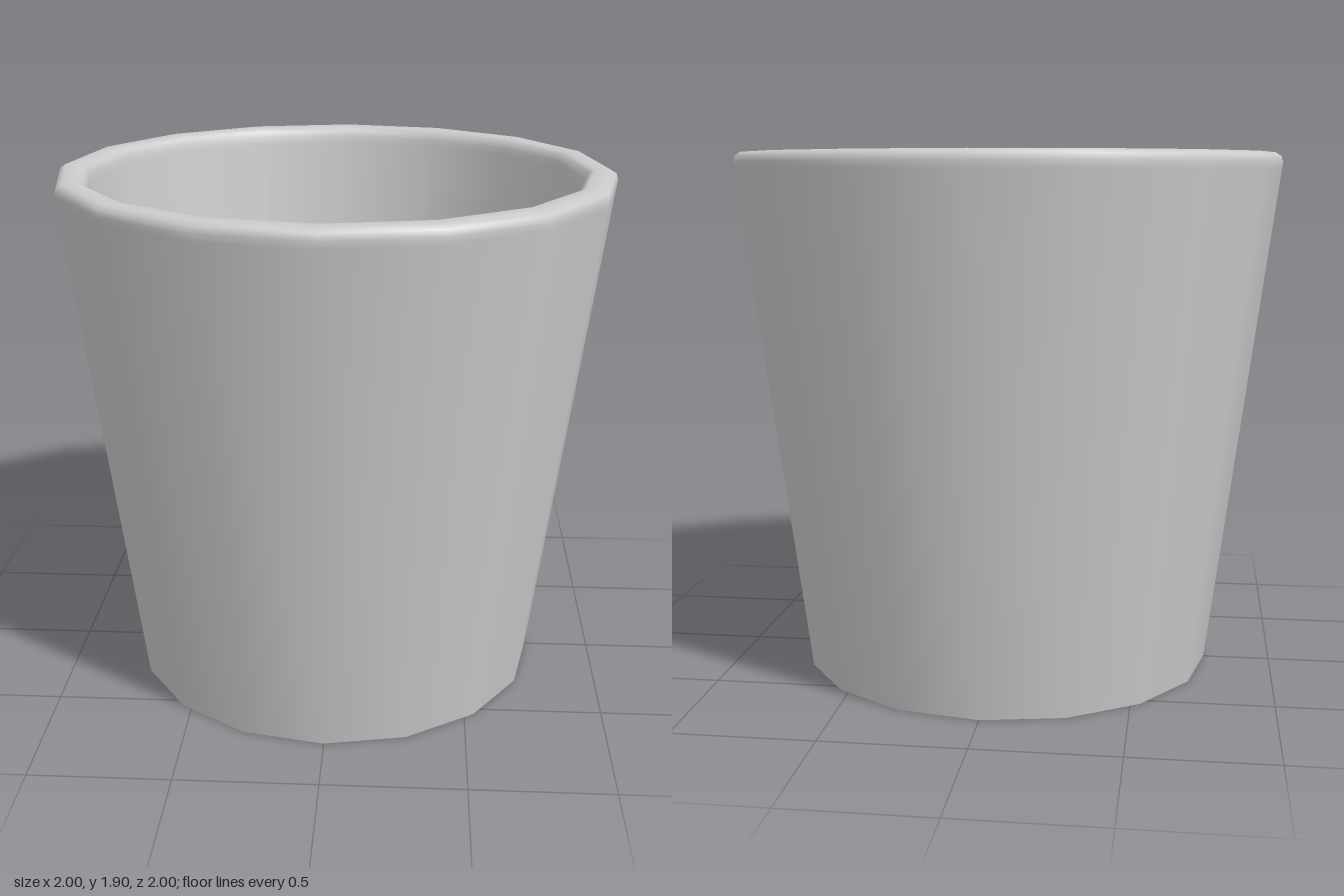
import * as THREE from 'three';

const SIDES = 16;
const BASE_RADIUS = 0.755;
const FLOOR_RADIUS = 0.665;
const FLOOR_HEIGHT = 0.12;

export function createModel() {
  const group = new THREE.Group();
  group.name = 'cup';
  const material = new THREE.MeshStandardMaterial({ color: 0xcccccc });

  const add = (name, geometry, y = 0) => {
    const mesh = new THREE.Mesh(geometry, material);
    mesh.name = name;
    mesh.position.y = y;
    group.add(mesh);
  };

  // Tapered wall: up the outside, over the rounded rim, down the inside
  const profile = [
    [BASE_RADIUS, 0],
    [0.996, 1.84],
    [1.0, 1.865],
    [0.993, 1.887],
    [0.972, 1.9],
    [0.917, 1.9],
    [0.897, 1.887],
    [0.888, 1.865],
    [0.885, 1.84],
    [FLOOR_RADIUS, FLOOR_HEIGHT],
  ].map(([r, y]) => new THREE.Vector2(r, y));
  add('wall', new THREE.LatheGeometry(profile, SIDES));

  // Flat discs closing the underside and the inside
  add('base', new THREE.CircleGeometry(BASE_RADIUS, SIDES).rotateX(Math.PI / 2));
  add('floor', new THREE.CircleGeometry(FLOOR_RADIUS, SIDES).rotateX(-Math.PI / 2), FLOOR_HEIGHT);

  return group;
}
